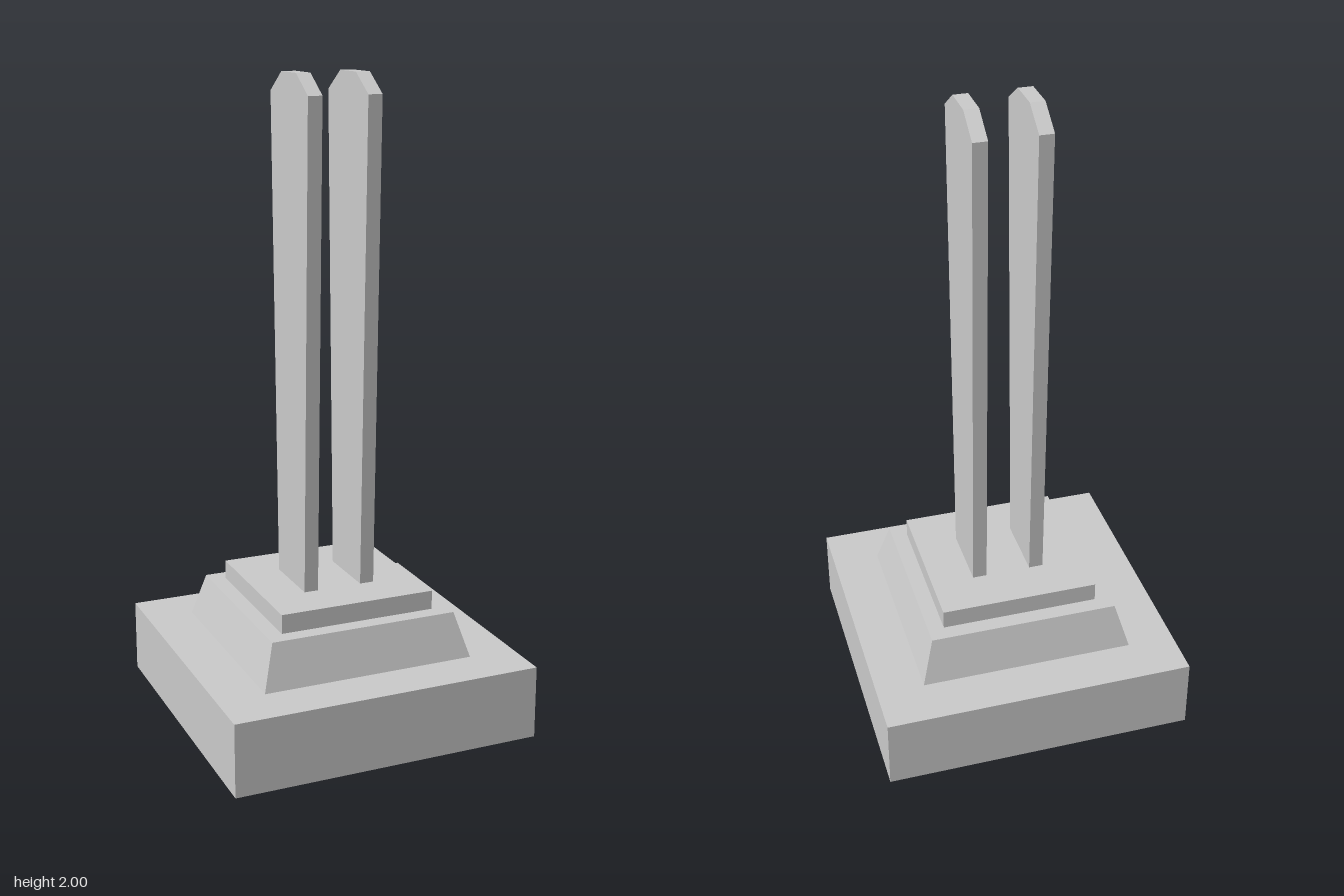
import * as THREE from 'three';

const material = new THREE.MeshStandardMaterial({ color: 0xcccccc, flatShading: true });

function addPart(group, name, geometry, x = 0, y = 0) {
  const mesh = new THREE.Mesh(geometry, material);
  mesh.name = name;
  mesh.position.set(x, y, 0);
  group.add(mesh);
}

// Square block or frustum standing on its own y = 0
function squareTier(bottom, top, height) {
  return new THREE.CylinderGeometry(top * Math.SQRT1_2, bottom * Math.SQRT1_2, height, 4)
    .rotateY(Math.PI / 4)
    .translate(0, height / 2, 0);
}

// Slab widening upward, with a chamfered top
function pillarGeometry(thickness) {
  const half = [[0.108, 0.43], [0.146, 1.94], [0.057, 2]];
  const outline = [...half, ...half.map(([z, y]) => [-z, y]).reverse()];
  const shape = new THREE.Shape(outline.map(([z, y]) => new THREE.Vector2(z, y)));
  return new THREE.ExtrudeGeometry(shape, { depth: thickness, bevelEnabled: false })
    .translate(0, 0, -thickness / 2)
    .rotateY(-Math.PI / 2);
}

export function createModel() {
  const model = new THREE.Group();
  model.name = 'monument';

  // Stepped pedestal
  addPart(model, 'base', squareTier(0.98, 0.98, 0.23));
  addPart(model, 'slopedPlinth', squareTier(0.68, 0.6, 0.14), 0, 0.23);
  addPart(model, 'topStep', squareTier(0.5, 0.5, 0.06), 0, 0.37);

  // Twin pillars
  const pillar = pillarGeometry(0.045);
  addPart(model, 'leftPillar', pillar, 0.0925);
  addPart(model, 'rightPillar', pillar, -0.0955);

  return model;
}
